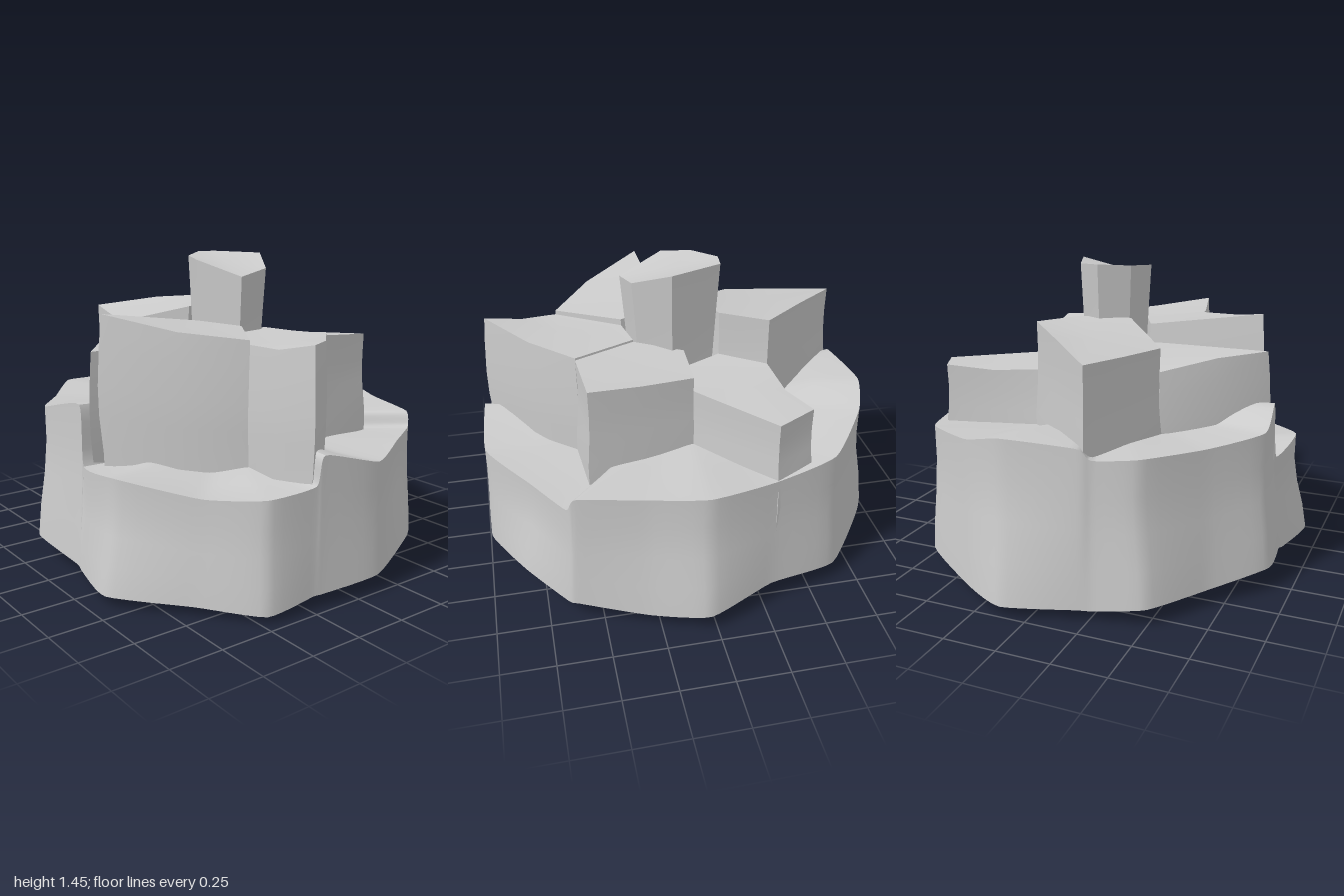
import * as THREE from 'three';
import { toCreasedNormals } from 'three/addons/utils/BufferGeometryUtils.js';

const V = (x, y, z) => new THREE.Vector3(x, y, z);

// Skin a stack of rings (bottom to top) and close both ends with fans
function loft(rings, bottomCentre, topCentre, crease) {
  const pos = [];
  const tri = (...pts) => pts.forEach((p) => pos.push(p.x, p.y, p.z));
  const n = rings[0].length;
  for (let i = 0; i < n; i++) {
    const j = (i + 1) % n;
    for (let k = 0; k < rings.length - 1; k++) {
      const a = rings[k], b = rings[k + 1];
      tri(a[i], b[i], a[j]);
      tri(a[j], b[i], b[j]);
    }
    const top = rings[rings.length - 1];
    tri(bottomCentre, rings[0][i], rings[0][j]);
    tri(topCentre, top[j], top[i]);
  }
  const geo = new THREE.BufferGeometry();
  geo.setAttribute('position', new THREE.Float32BufferAttribute(pos, 3));
  return toCreasedNormals(geo, crease);
}

function centreOf(points) {
  const c = V(0, 0, 0);
  points.forEach((p) => c.add(p));
  return c.divideScalar(points.length);
}

// Rock column: corners are [x, z, top height]; sections are [height fraction, scale]
function column(corners, foot, sections) {
  let area = 0;
  corners.forEach(([x, z], i) => {
    const [x2, z2] = corners[(i + 1) % corners.length];
    area += x * z2 - x2 * z;
  });
  const pts = area > 0 ? corners : [...corners].reverse();
  const c = centreOf(pts.map(([x, z, h]) => V(x, h, z)));
  const rings = sections.map(([t, s]) => pts.map(([x, z, h]) =>
    V(c.x + (x - c.x) * s, foot + (h - foot) * t, c.z + (z - c.z) * s)));
  return loft(rings, V(c.x, foot, c.z), V(c.x, c.y - 0.01, c.z), 0.55);
}

// Broad base: bottom x, bottom z, bottom height, top x, top z, ledge height.
// Close pairs of points make the steps between ledges.
const BASE = [
  [0.99, -0.13, 0.08, 0.97, -0.13, 0.6], [0.96, 0.18, 0.06, 0.955, 0.18, 0.68],
  [0.955, 0.23, 0.06, 0.95, 0.22, 0.55],
  [0.94, 0.47, 0.03, 0.92, 0.46, 0.53], [0.7, 0.67, 0.04, 0.7, 0.63, 0.51],
  [0.4, 0.93, 0.05, 0.37, 0.86, 0.56], [0.1, 0.88, 0.05, 0.06, 0.83, 0.53],
  [0.04, 0.87, 0.06, 0.02, 0.82, 0.81], [-0.29, 0.9, 0.11, -0.27, 0.85, 0.75],
  [-0.55, 0.69, 0.08, -0.53, 0.66, 0.73], [-0.83, 0.5, 0.08, -0.8, 0.45, 0.74],
  [-0.88, 0.27, 0.05, -0.86, 0.26, 0.73], [-0.9, 0.2, 0.05, -0.88, 0.2, 0.78],
  [-1, -0.12, 0.05, -0.91, -0.15, 0.79],
  [-0.91, -0.32, 0.06, -0.84, -0.36, 0.74], [-0.64, -0.69, 0.08, -0.61, -0.67, 0.7],
  [-0.29, -0.8, 0.11, -0.29, -0.78, 0.68], [0.03, -0.93, 0.08, 0.03, -0.87, 0.7],
  [0.3, -0.84, 0.06, 0.3, -0.79, 0.68], [0.61, -0.73, 0.09, 0.6, -0.71, 0.67],
  [0.66, -0.7, 0.09, 0.64, -0.68, 0.6], [0.84, -0.48, 0.13, 0.78, -0.45, 0.6],
];

function baseGeometry() {
  const samples = BASE.length * 6;
  const ring = (points) => {
    const curve = new THREE.CatmullRomCurve3(points, true, 'catmullrom', 0.25);
    return Array.from({ length: samples }, (_, i) => curve.getPoint(i / samples));
  };
  const low = ring(BASE.map(([x, z, y]) => V(x, y, z)));
  const high = ring(BASE.map(([, , , x, z, y]) => V(x, y, z)));
  // Sides draw in slightly above the foot, then run straight up
  const between = (t, pull) => low.map((p, i) => V(
    THREE.MathUtils.lerp(p.x, high[i].x, pull),
    THREE.MathUtils.lerp(p.y, high[i].y, t),
    THREE.MathUtils.lerp(p.z, high[i].z, pull)));
  const underside = low.map((p) => V(p.x * 0.6, 0.02, p.z * 0.6));
  const ledge = high.map((p) => V(p.x * 0.75, p.y - 0.01, p.z * 0.75));
  return loft(
    [underside, low, between(0.25, 0.3), between(0.5, 0.75), between(0.75, 1.02), high, ledge],
    V(0, 0, 0), V(0, 0.66, 0), 0.8);
}

// Neighbouring columns share these plan positions
const P = {
  hubW: [-0.2, 0], hubNW: [-0.19, -0.09], hubN: [0.06, -0.19], hubNE: [0.23, -0.09],
  hubE: [0.26, 0.08], hubS: [0.04, 0.18], hubSW: [-0.1, 0.13],
  west: [-0.4, -0.22], farWest: [-0.85, 0.22], southWest: [-0.34, 0.37],
  south: [0.05, 0.77], southEast: [0.56, 0.27], farEast: [0.91, 0.21],
  east: [0.52, -0.22], northEast: [0.5, -0.49], north: [0, -0.39],
  northIn: [0, -0.17], farNorth: [-0.3, -0.76], northWest: [-0.48, -0.67],
};
const at = (name, h) => [...P[name], h];

// Sides bulge a little below the rim; some columns flare at the foot instead
const bulging = [[0, 1], [0.3, 1.01], [0.5, 1.05], [0.65, 1.055], [0.85, 1.03], [1, 1]];
const flared = [[0, 1.06], [0.5, 1.05], [0.7, 1.0], [0.85, 0.99], [1, 1]];
const COLUMNS = {
  centreColumn: {
    foot: 0.5, sections: [[0, 0.84], [0.5, 0.87], [0.75, 0.93], [1, 1]],
    corners: [at('hubW', 1.45), at('hubNW', 1.45), at('hubN', 1.45), at('hubNE', 1.39),
      at('hubE', 1.36), at('hubS', 1.43), at('hubSW', 1.44)],
  },
  frontLeftColumn: {
    corners: [at('hubS', 1.14), at('hubE', 1.13), at('southEast', 1.12),
      [0.37, 0.52, 1.155], [0.08, 0.73, 1.22]],
  },
  leftColumn: {
    corners: [at('hubE', 1.1), at('hubNE', 1.1), at('east', 1.1), [0.72, -0.03, 1.11],
      at('farEast', 1.14), [0.73, 0.25, 1.1], at('southEast', 1.1)],
  },
  backLeftColumn: {
    sections: flared,
    corners: [at('northIn', 1.06), at('hubNE', 1.09), at('east', 1.09),
      at('northEast', 1.07), [0.25, -0.45, 1.05], at('north', 1.03)],
  },
  backColumn: {
    sections: flared,
    corners: [at('northIn', 0.97), at('north', 0.96), at('farNorth', 0.96),
      at('northWest', 0.97), [-0.42, -0.45, 0.95], at('west', 0.97), at('hubNW', 0.98)],
  },
  rightColumn: {
    sections: flared,
    corners: [at('hubSW', 1.19), at('hubNW', 1.2), at('west', 1.2),
      [-0.62, -0.02, 1.18], at('farWest', 1.13), [-0.6, 0.3, 1.12], at('southWest', 1.11)],
  },
  frontRightColumn: {
    corners: [at('hubSW', 1.06), at('southWest', 1), [-0.18, 0.59, 1.05],
      at('south', 1.05), at('hubS', 1.05)],
  },
};

export function createModel() {
  const group = new THREE.Group();
  group.name = 'columnRock';
  const stone = new THREE.MeshStandardMaterial({ color: 0xcccccc });
  const add = (name, geometry) => {
    const mesh = new THREE.Mesh(geometry, stone);
    mesh.name = name;
    group.add(mesh);
  };
  add('rockBase', baseGeometry());
  for (const [name, { corners, foot = 0.3, sections = bulging }] of Object.entries(COLUMNS)) {
    add(name, column(corners, foot, sections));
  }
  return group;
}
